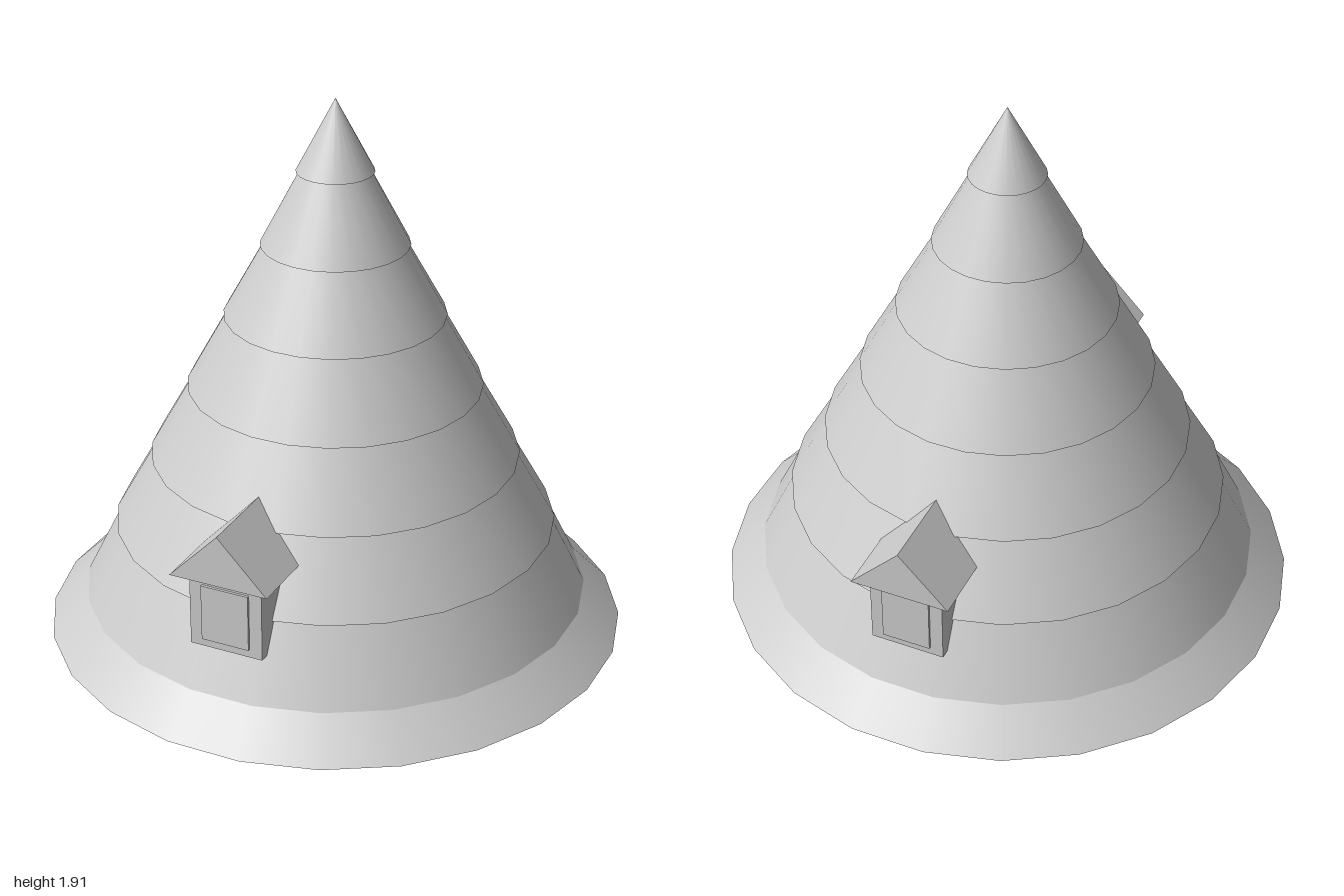
import * as THREE from 'three';

const SIDES = 24;
// radii are measured across the flats, so push the corners out
const FLAT = 1 / Math.cos(Math.PI / SIDES);

export function createModel() {
  const group = new THREE.Group();
  const roofGrey = new THREE.MeshStandardMaterial({ color: 0xcccccc });
  roofGrey.name = 'roofGrey';

  const add = (parent, name, geometry) => {
    const mesh = new THREE.Mesh(geometry, roofGrey);
    mesh.name = name;
    parent.add(mesh);
    return mesh;
  };

  // one straight band of the cone, listed from bottom to top
  const band = (name, r0, y0, r1, y1) => add(group, name, new THREE.LatheGeometry(
    [new THREE.Vector2(r0 * FLAT, y0), new THREE.Vector2(r1 * FLAT, y1)],
    SIDES, Math.PI / SIDES));

  // flared eaves
  band('baseCap', 0, 0, 1, 0);
  band('eaves', 1, 0, 0.872, 0.13);
  band('lowerTier', 0.872, 0.13, 0.745, 0.388);

  // overlapping tiers, each with a narrow ledge underneath
  const tiers = [[0.76, 0.388], [0.632, 0.64], [0.502, 0.896], [0.375, 1.152],
    [0.25, 1.404], [0.13, 1.66], [0, 1.91]];
  for (let i = 0; i < tiers.length - 1; i++) {
    const [r, y] = tiers[i];
    const [rNext, yNext] = tiers[i + 1];
    band('tierLedge', r - 0.03, y, r, y);
    band('tier', r, y, Math.max(0, rNext - 0.013), yNext);
  }

  // dormers at front and back
  const gable = new THREE.Shape([
    new THREE.Vector2(-0.175, 0.55),
    new THREE.Vector2(0.175, 0.55),
    new THREE.Vector2(0, 0.73),
  ]);
  for (const side of ['front', 'back']) {
    const dormer = new THREE.Group();
    dormer.name = side + 'Dormer';
    if (side === 'back') dormer.rotation.y = Math.PI;
    group.add(dormer);

    add(dormer, 'dormerWalls', new THREE.BoxGeometry(0.26, 0.27, 0.33))
      .position.set(0, 0.415, 0.66);
    add(dormer, 'dormerWindow', new THREE.BoxGeometry(0.17, 0.2, 0.009))
      .position.set(0, 0.41, 0.8295);
    add(dormer, 'dormerRoof', new THREE.ExtrudeGeometry(gable, { depth: 0.4, bevelEnabled: false }))
      .position.z = 0.475;
  }
  return group;
}
